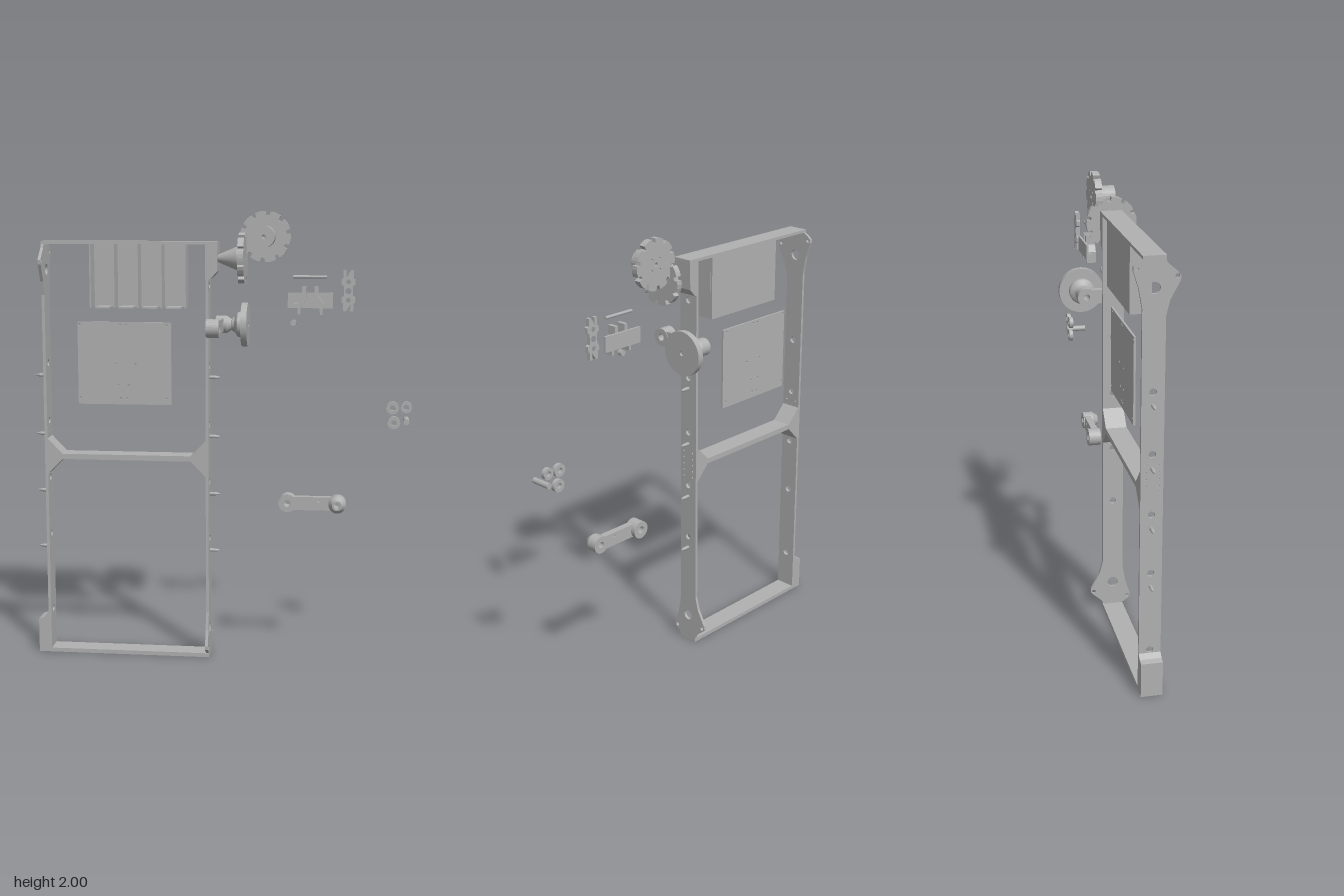
import * as THREE from 'three';

const metal = new THREE.MeshStandardMaterial({ color: 0xb0b0b0 });
metal.name = 'plain grey metal';

export function createModel() {
  const root = new THREE.Group();
  root.name = 'frameAssembly';

  const add = (name, geo, parent = root) => {
    const m = new THREE.Mesh(geo, metal);
    m.name = name;
    parent.add(m);
    return m;
  };
  // Box given by its limits
  const box = (name, x0, x1, y0, y1, z0, z1, parent) =>
    add(name, new THREE.BoxGeometry(x1 - x0, y1 - y0, z1 - z0)
      .translate((x0 + x1) / 2, (y0 + y1) / 2, (z0 + z1) / 2), parent);
  const outline = (pts) => new THREE.Shape(pts.map(([x, y]) => new THREE.Vector2(x, y)));
  const hole = (shape, x, y, r) => {
    shape.holes.push(new THREE.Path().absarc(x, y, r, 0, Math.PI * 2, true));
    return shape;
  };
  const disc = (r, x = 0, y = 0) => new THREE.Shape().absarc(x, y, r, 0, Math.PI * 2, false);
  // Extrude a front outline between two depths
  const slab = (shape, z0, z1) => new THREE.ExtrudeGeometry(shape,
    { depth: z1 - z0, bevelEnabled: false, curveSegments: 14 }).translate(0, 0, z0);
  // Turned part along +z, profile as [radius, z]
  const turned = (profile, seg = 32) => new THREE.LatheGeometry(
    profile.flatMap(([r, z], i) => {
      const p = new THREE.Vector2(r, z);
      return i > 0 && i < profile.length - 1 ? [p, p.clone()] : [p];
    }), seg).rotateX(Math.PI / 2);

  // ---- Frame ----
  const Z0 = -0.015, Z1 = 0.078, ZM = 0.0315;
  box('topBar', -0.795, -0.015, 1.857, 1.87, Z0, Z1);
  box('bottomBar', -0.84, -0.055, 0, 0.018, Z0, Z1);
  box('middleBar', -0.783, -0.067, 0.902, 0.926, Z0, Z1);

  // Side rails: same plate, turned end for end
  const railGeo = () => {
    const s = outline([[Z0, 1.857], [Z0, 0.24], [-0.03, 0.18], [-0.07, 0.105], [-0.072, 0.085],
      [-0.058, 0.07], [-0.018, 0.035], [-0.012, 0.018], [0.075, 0.018], [0.1, 0.034], [0.113, 0.045],
      [0.114, 0.062], [0.092, 0.13], [Z1, 0.21], [Z1, 1.857]]);
    hole(s, ZM, 0.13, 0.024);
    hole(s, 0.1, 0.053, 0.009);
    hole(s, -0.057, 0.087, 0.009);
    for (const y of [0.545, 0.805, 1.065, 1.325, 1.68]) hole(s, ZM, y, 0.015);
    for (const z of [0.005, 0.058]) for (let i = 0; i < 5; i++) hole(s, z, 0.85 + i * 0.03, 0.004);
    return slab(s, 0, 0.013).rotateY(-Math.PI / 2);
  };
  add('leftRail', railGeo()).position.x = -0.055;
  const rightRail = add('rightRail', railGeo());
  rightRail.rotation.x = Math.PI;
  rightRail.position.set(-0.782, 1.875, 0.063);

  // Corner brackets, gussets and pins
  add('upperCornerBracket', slab(outline([[-0.055, 1.857], [-0.055, 1.705], [-0.045, 1.71],
    [-0.017, 1.74], [-0.015, 1.857]]), Z0, Z1));
  add('lowerCornerBracket', slab(outline([[-0.795, 0.018], [-0.795, 0.18], [-0.815, 0.162],
    [-0.84, 0.155], [-0.84, 0.018]]), Z0, Z1));
  for (const side of [-1, 1]) {
    const X = (d) => -0.425 + side * (0.358 - d);
    for (const up of [-1, 1]) {
      const y = up > 0 ? 0.926 : 0.902;
      add('gusset', slab(outline([[X(0), y], [X(0.068), y], [X(0), y + up * 0.07]]), Z0, Z1));
    }
    for (const y of [0.49, 0.75, 1.01, 1.275]) {
      const pin = add('railPin', turned([[0, 0], [0.008, 0], [0.008, 0.025], [0.003, 0.045], [0, 0.045]], 10));
      pin.rotation.y = side * Math.PI / 2;
      pin.position.set(side > 0 ? -0.055 : -0.795, y, ZM);
    }
  }

  // ---- Slotted tray and flat panel ----
  const tray = new THREE.Group();
  tray.name = 'slottedTray';
  root.add(tray);
  box('trayBack', -0.58, -0.155, 1.58, 1.857, Z0, -0.007, tray);
  for (let i = 0; i < 5; i++) {
    const x = -0.577 + i * 0.105;
    box('trayDivider', x - 0.003, x + 0.003, 1.58, 1.857, -0.007, 0.075, tray);
    if (i < 4) box('trayTongue', x + 0.02, x + 0.085, 1.578, 1.585, -0.007, 0.078, tray);
  }
  const panel = outline([[-0.655, 1.142], [-0.232, 1.142], [-0.232, 1.512], [-0.655, 1.512]]);
  for (const [x, y] of [[-0.645, 1.17], [-0.253, 1.17], [-0.253, 1.5], [-0.645, 1.5], [-0.462, 1.5],
    [-0.435, 1.5], [-0.483, 1.325], [-0.394, 1.325], [-0.472, 1.23], [-0.425, 1.23],
    [-0.462, 1.17], [-0.435, 1.17]]) hole(panel, x, y, 0.005);
  add('flatPanel', slab(panel, -0.014, -0.005));

  // ---- Notched wheels ----
  const notchedWheel = () => {
    const pts = [], n = 10;
    for (let i = 0; i < n; i++) {
      const a = (i / n) * Math.PI * 2 + 0.3;
      for (const [d, r] of [[0, 0.11], [0.15, 0.111], [0.3, 0.111], [0.44, 0.11], [0.46, 0.092], [0.61, 0.092]])
        pts.push([r * Math.cos(a + d), r * Math.sin(a + d)]);
    }
    const s = outline(pts);
    for (let i = 0; i < 4; i++) {
      const a = i * Math.PI / 2 + 0.78;
      hole(s, 0.034 * Math.cos(a), 0.034 * Math.sin(a), 0.005);
    }
    return hole(s, 0, 0, 0.009);
  };
  const frontWheel = new THREE.Group();
  frontWheel.name = 'frontNotchedWheel';
  frontWheel.position.set(0.187, 1.89, 0);
  root.add(frontWheel);
  add('notchedDisc', slab(notchedWheel(), -0.014, 0.016), frontWheel);
  add('hub', slab(hole(disc(0.046), 0, 0, 0.009), 0.016, 0.086), frontWheel);

  const sideWheel = new THREE.Group();
  sideWheel.name = 'sideNotchedWheel';
  sideWheel.position.set(0, 1.797, 0.055);
  sideWheel.rotation.y = Math.PI / 2;
  root.add(sideWheel);
  add('notchedDisc', slab(notchedWheel(), 0.078, 0.105), sideWheel);
  add('coneHub', turned([[0, -0.015], [0.016, -0.015], [0.052, 0.07], [0.052, 0.079], [0, 0.079]]), sideWheel);

  // ---- Crank arms: offset bosses joined by a bar, along +x ----
  const crankArm = (name) => {
    const g = new THREE.Group();
    g.name = name;
    const bar = outline([[0.02, -0.03], [0.205, -0.03], [0.205, 0.03], [0.02, 0.03]]);
    hole(bar, 0.14, 0.013, 0.006);
    add('armBar', slab(bar, 0.01, 0.04), g);
    add('plainBoss', slab(hole(disc(0.04), 0, 0, 0.016), -0.012, 0.044), g);
    add('taperedBoss', turned([[0.014, 0.006], [0.039, 0.006], [0.039, 0.052], [0.022, 0.077],
      [0.014, 0.077], [0.014, 0.006]]).translate(0.222, 0, 0), g);
    root.add(g);
    return g;
  };
  crankArm('looseCrankArm').position.set(0.293, 0.716, 0);
  const wheelArm = crankArm('wheelCrankArm');
  wheelArm.rotation.y = Math.PI / 2;
  wheelArm.position.set(-0.043, 1.5, 0.144);

  // Plain wheel with flared hub on the end of the arm
  const plainWheel = add('plainWheel', turned([[0, 0.02], [0.03, 0.035], [0.034, 0.045], [0.05, 0.055],
    [0.055, 0.06], [0.055, 0.078], [0.098, 0.078], [0.098, 0.105], [0.01, 0.105], [0.01, 0.095], [0, 0.095]], 40));
  plainWheel.rotation.y = Math.PI / 2;
  plainWheel.position.set(0, 1.5, -0.08);

  // ---- Small loose parts ----
  add('thinRod', new THREE.CylinderGeometry(0.007, 0.007, 0.147, 12).rotateZ(Math.PI / 2)
    .translate(0.383, 1.717, 0.01));

  const clip = new THREE.Group();
  clip.name = 'clipPlate';
  clip.position.x = 0.385;
  root.add(clip);
  box('basePlate', -0.1, 0.098, 1.58, 1.648, -0.016, -0.006, clip);
  for (const s of [-1, 1]) {
    add('hook', slab(outline([[s * 0.018, 1.675], [s * 0.035, 1.675], [s * 0.035, 1.635], [s * 0.055, 1.605],
      [s * 0.055, 1.555], [s * 0.043, 1.555], [s * 0.04, 1.59], [s * 0.018, 1.622]]), -0.006, 0.036), clip);
    box('foot', s * 0.06 - 0.012, s * 0.06 + 0.012, 1.582, 1.6, -0.006, 0.015, clip);
  }

  // Double-pronged strip
  const half = [[0.009, 0.0875], [0.022, 0.0875], [0.022, 0.055], [0.03, 0.05], [0.03, 0.028],
    [0.02, 0.022], [0.02, -0.022], [0.03, -0.028], [0.03, -0.05], [0.022, -0.055], [0.022, -0.0875],
    [0.009, -0.0875], [0.009, -0.058]];
  const strip = outline([...half, ...half.map(([x, y]) => [-x, -y])]);
  for (const y of [-0.04, 0.04]) hole(strip, 0, y, 0.01);
  hole(strip, 0, 0, 0.013);
  add('prongedStrip', slab(strip, -0.017, 0)).position.set(0.549, 1.656, 0);

  add('smallNut', new THREE.CylinderGeometry(0.014, 0.014, 0.022, 6).rotateX(Math.PI / 2)
    .translate(0.315, 1.522, 0.068));

  // Rings and a pin
  for (const [x, y, r] of [[0.75, 1.146, 0.028], [0.81, 1.149, 0.025], [0.757, 1.08, 0.028]])
    add('ring', slab(hole(disc(r, x, y), x, y, 0.012), -0.016, 0.002));
  add('loosePin', new THREE.CylinderGeometry(0.013, 0.013, 0.09, 16).rotateX(Math.PI / 2)
    .translate(0.81, 1.095, 0.03));

  return root;
}
